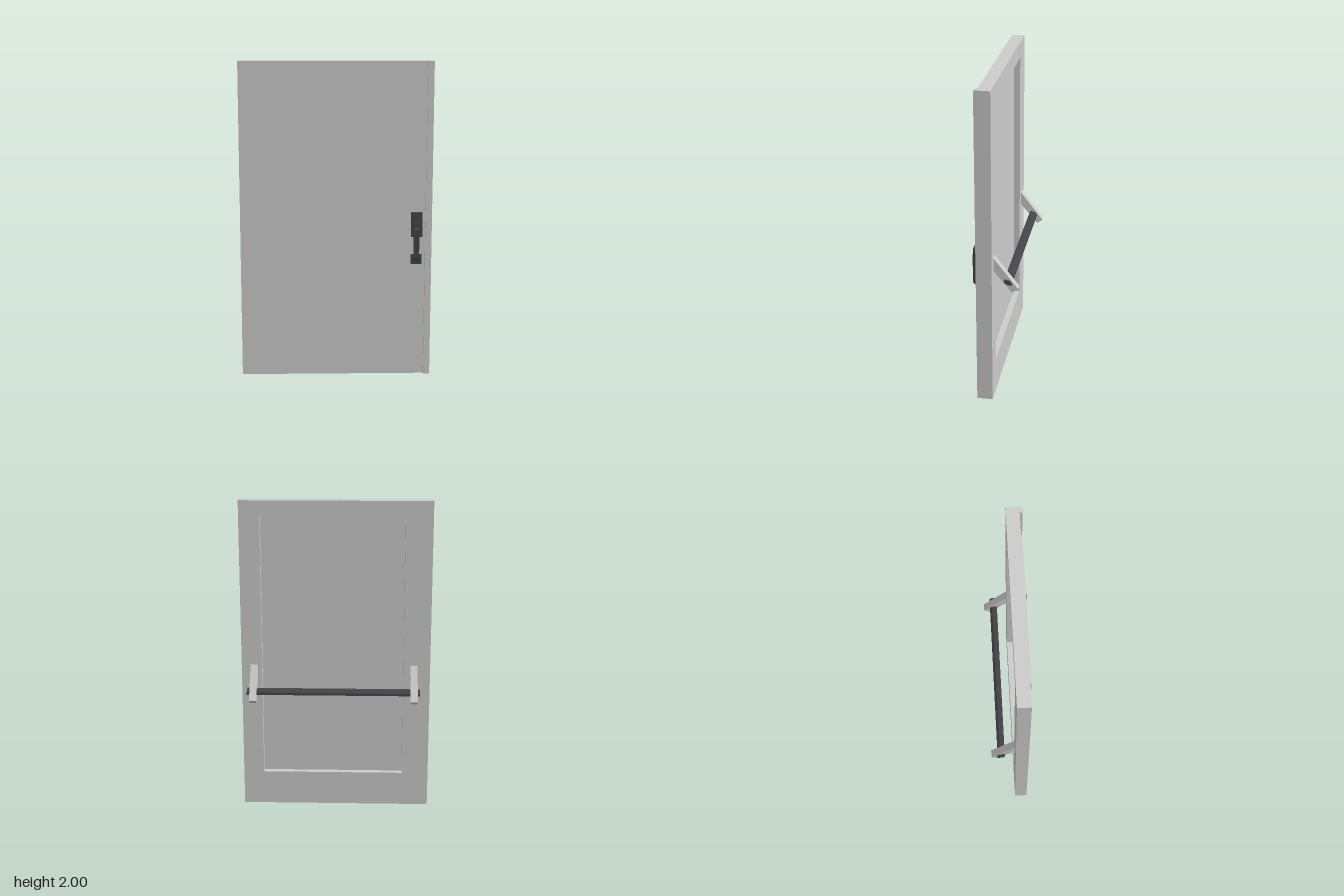
import * as THREE from 'three';

const grey = new THREE.MeshStandardMaterial({ color: 0xcccccc });
const dark = new THREE.MeshStandardMaterial({ color: 0x444448 });

export function createModel() {
  const door = new THREE.Group();
  door.name = 'door';

  const add = (name, geometry, material) => {
    const mesh = new THREE.Mesh(geometry, material);
    mesh.name = name;
    door.add(mesh);
  };

  // box given by its extents on each axis
  const box = (name, [x0, x1], [y0, y1], [z0, z1], material = grey) => {
    const g = new THREE.BoxGeometry(x1 - x0, y1 - y0, z1 - z0);
    g.translate((x0 + x1) / 2, (y0 + y1) / 2, (z0 + z1) / 2);
    add(name, g, material);
  };

  // side profile of [z, y] points, extruded from x0 to x1
  const profile = (name, points, x0, x1, material) => {
    const shape = new THREE.Shape(points.map(([z, y]) => new THREE.Vector2(z, y)));
    const g = new THREE.ExtrudeGeometry(shape, { depth: x1 - x0, bevelEnabled: false });
    g.rotateY(-Math.PI / 2).translate(x1, 0, 0);
    add(name, g, material);
  };

  const rect = (path, x0, y0, x1, y1) =>
    path.moveTo(x0, y0).lineTo(x1, y0).lineTo(x1, y1).lineTo(x0, y1).closePath();

  // frame with a rectangular opening
  const frame = new THREE.Shape();
  rect(frame, -0.6, 0, 0.6, 2);
  const opening = new THREE.Path();
  rect(opening, -0.43, 0.22, 0.47, 1.9);
  frame.holes.push(opening);
  add('frame', new THREE.ExtrudeGeometry(frame, { depth: 0.08, bevelEnabled: false }).translate(0, 0, 0.01), grey);

  // panel: proud of the front, recessed at the back
  box('panel', [-0.43, 0.47], [0.22, 1.9], [0.05, 0.1]);
  box('edgeStrip', [0.56, 0.6], [0, 2], [0.09, 0.107]);

  // front pull handle
  box('upperHandlePlate', [0.47, 0.54], [0.905, 1.06], [0.09, 0.117], dark);
  box('lowerHandlePlate', [0.47, 0.54], [0.73, 0.79], [0.09, 0.104], dark);
  box('thumbLatch', [0.475, 0.535], [0.97, 1.0], [0.117, 0.134], dark);
  profile('pullGrip', [
    [0.1, 0.968], [0.132, 0.968], [0.14, 0.955], [0.14, 0.772], [0.132, 0.757], [0.1, 0.757],
    [0.1, 0.769], [0.122, 0.769], [0.128, 0.78], [0.128, 0.945], [0.122, 0.955], [0.1, 0.955],
  ], 0.485, 0.52, dark);

  // slanted arms of the push bar
  for (const [name, x] of [['rightBarArm', -0.52], ['leftBarArm', 0.498]]) {
    profile(name, [[0.01, 0.952], [-0.14, 0.757], [-0.102, 0.731], [0.01, 0.867]], x, x + 0.045, grey);
  }

  // push bar through both arms
  profile('pushBar', [
    [-0.055, 0.817], [-0.085, 0.813], [-0.1, 0.8], [-0.101, 0.785], [-0.075, 0.79], [-0.058, 0.8],
  ], -0.535, 0.56, dark);

  return door;
}
